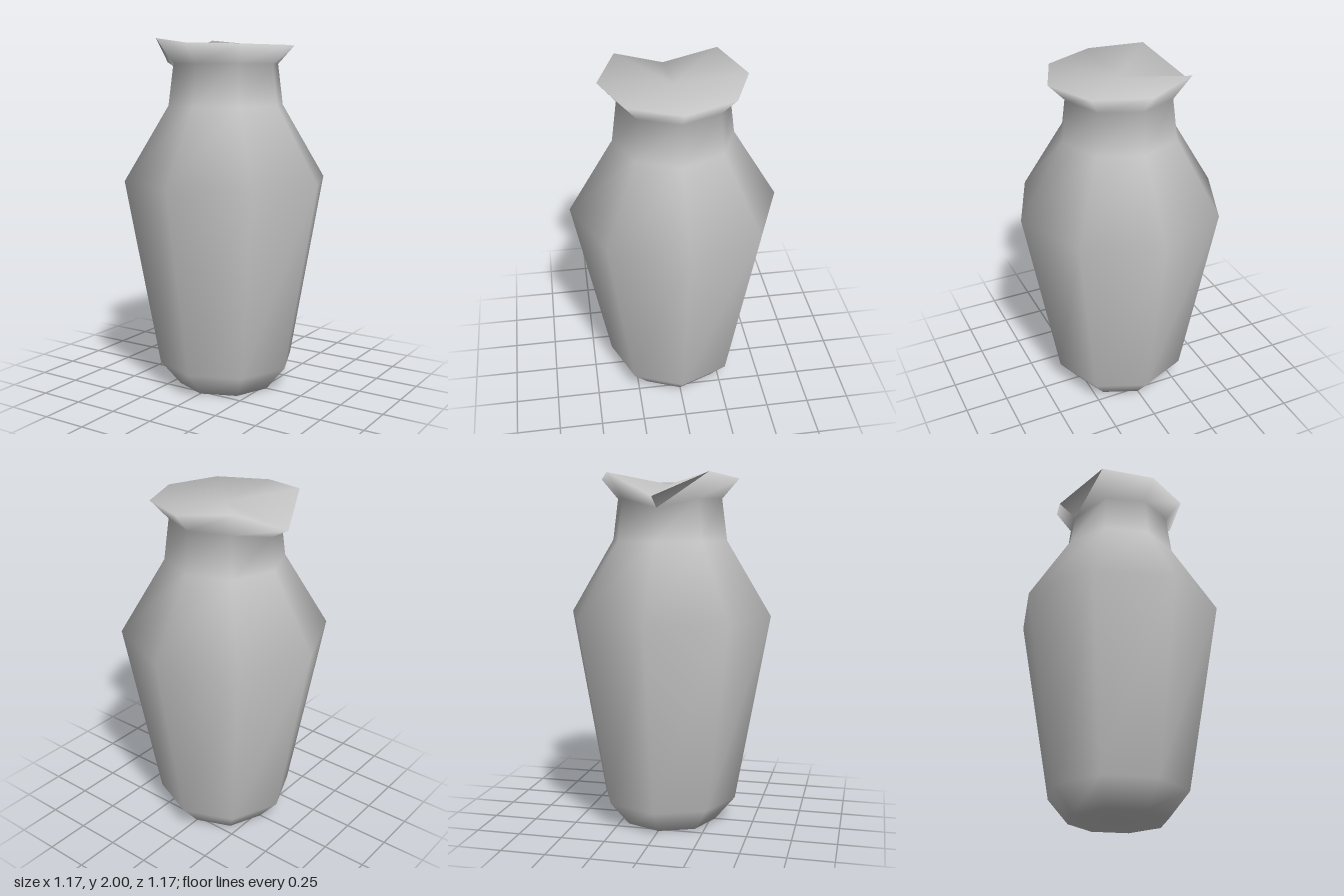
import * as THREE from 'three';

const SIDES = 8; // corner 0 faces +z, corner 2 faces +x, corner 6 faces -x

// Body rings from foot to neck: [radius, height]
const RINGS = [[0.277, 0], [0.393, 0.14], [0.585, 1.21], [0.332, 1.63], [0.302, 1.86]];

// Uneven lip: height of each corner, dipping at -x like a worn spout
const LIP_HEIGHTS = [1.97, 1.963, 1.96, 1.963, 1.97, 2.0, 1.87, 2.0];

function corner(j, radius, y) {
  const a = (j / SIDES) * Math.PI * 2;
  return [Math.sin(a) * radius, y, Math.cos(a) * radius];
}

function vaseGeometry() {
  const positions = [];
  const indices = [];

  // Rings of the wall; the neck also sinks a little under the spout
  RINGS.forEach(([r, y], i) => {
    for (let j = 0; j < SIDES; j++) {
      const sunk = i === RINGS.length - 1 && j === 6 ? 0.05 : 0;
      positions.push(...corner(j, r, y - sunk));
    }
  });

  // Flared lip
  LIP_HEIGHTS.forEach((y, j) => positions.push(...corner(j, j === 6 ? 0.41 : 0.398, y)));

  // Wall faces
  for (let i = 0; i < RINGS.length; i++) {
    for (let j = 0; j < SIDES; j++) {
      const k = (j + 1) % SIDES;
      const a = i * SIDES + j, b = i * SIDES + k;
      indices.push(a, b, b + SIDES, a, b + SIDES, a + SIDES);
    }
  }

  // Underside and shallow mouth, each a fan around a centre point
  const foot = positions.length / 3;
  const mouth = foot + 1;
  positions.push(0, 0, 0, 0, 1.94, 0);
  const top = RINGS.length * SIDES;
  for (let j = 0; j < SIDES; j++) {
    const k = (j + 1) % SIDES;
    indices.push(foot, k, j, mouth, top + j, top + k);
  }

  const geometry = new THREE.BufferGeometry();
  geometry.setAttribute('position', new THREE.Float32BufferAttribute(positions, 3));
  geometry.setIndex(indices);
  geometry.computeVertexNormals();
  return geometry;
}

export function createModel() {
  const group = new THREE.Group();
  group.name = 'vase';

  const clay = new THREE.MeshStandardMaterial({ color: 0xc4c4c4 });
  clay.name = 'grey clay';

  const body = new THREE.Mesh(vaseGeometry(), clay);
  body.name = 'vaseBody';
  group.add(body);
  return group;
}
